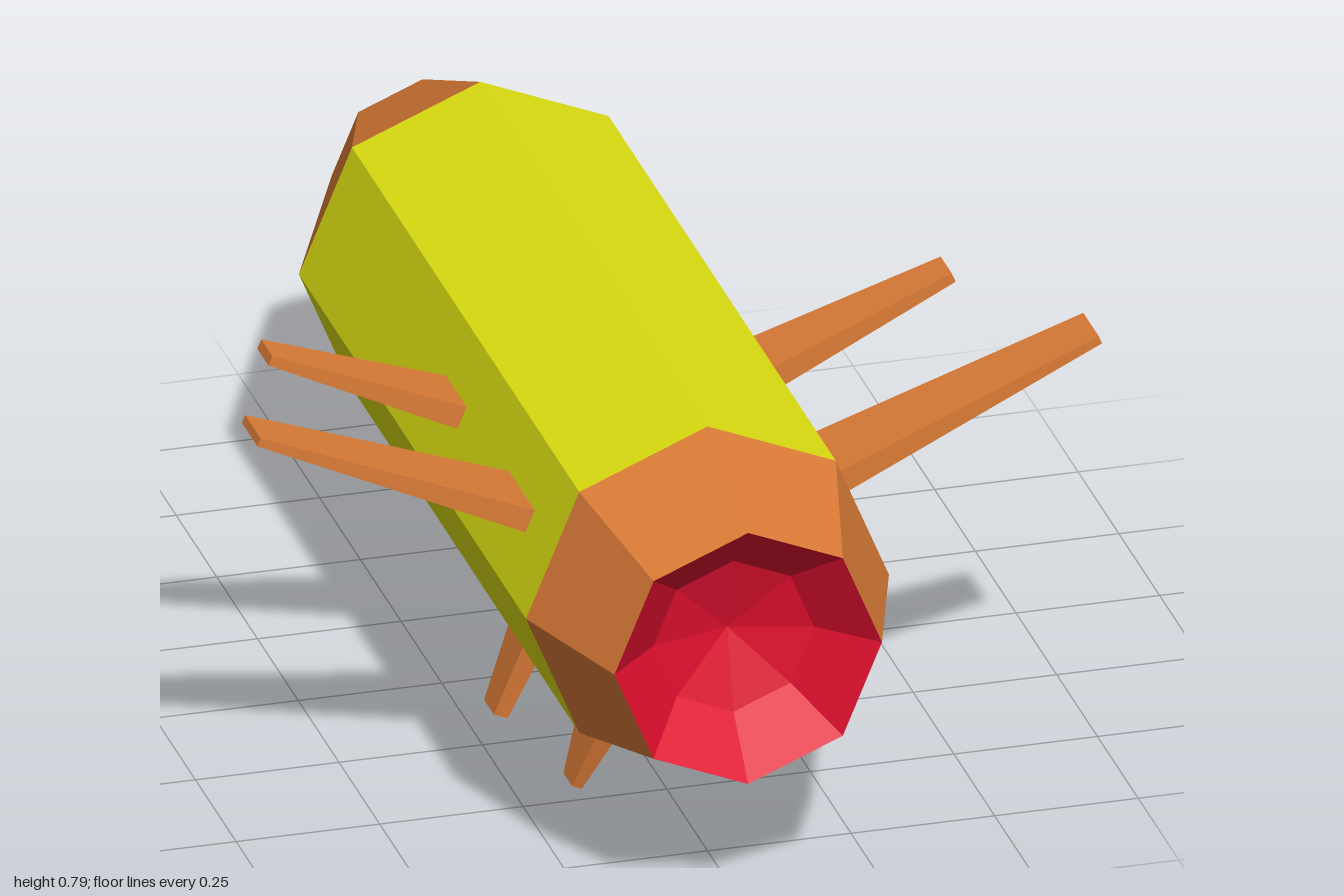
import * as THREE from 'three';

const AXIS_Y = 0.474; // height of the hull axis
const orange = new THREE.MeshStandardMaterial({ color: 0xd97a36, flatShading: true });
const yellow = new THREE.MeshStandardMaterial({ color: 0xdcdf10, flatShading: true });
const red = new THREE.MeshStandardMaterial({ color: 0xdf0f2e, flatShading: true });

// Eight-sided hull section, profile given as [radius, z] from back to front
function section(name, profile, material) {
  const geometry = new THREE.LatheGeometry(profile.map(([r, z]) => new THREE.Vector2(r, z)), 8);
  geometry.rotateX(Math.PI / 2);
  const mesh = new THREE.Mesh(geometry, material);
  mesh.name = name;
  mesh.position.y = AXIS_Y;
  return mesh;
}

// Tapered fin that grows radially out of the hull
function fin(name, { angle, z, tip, rootChord, tipChord, rootThick, tipThick }, side) {
  const root = 0.287;
  const geometry = new THREE.BoxGeometry(1, tip - root, 1);
  geometry.translate(0, (tip + root) / 2, 0);
  const p = geometry.attributes.position;
  for (let i = 0; i < p.count; i++) {
    const outer = p.getY(i) > (tip + root) / 2;
    p.setX(i, p.getX(i) * (outer ? tipThick : rootThick));
    p.setZ(i, p.getZ(i) * (outer ? tipChord : rootChord));
  }
  geometry.computeVertexNormals();
  const mesh = new THREE.Mesh(geometry, orange);
  mesh.name = name;
  mesh.rotation.z = -side * THREE.MathUtils.degToRad(angle);
  mesh.position.set(0, AXIS_Y, z);
  return mesh;
}

export function createModel() {
  const model = new THREE.Group();
  model.name = 'vessel';

  // Hull
  model.add(section('hull', [[0.316, -0.645], [0.316, 0.75]], yellow));
  model.add(section('noseCollar', [[0.316, 0.75], [0.233, 1]], orange));
  model.add(section('tailCone', [[0.125, -0.97], [0.125, -1], [0.158, -1], [0.316, -0.645]], orange));

  // Concave front bowl and recessed rear plate
  model.add(section('frontBowl', [[0.233, 1], [0.14, 0.91], [0, 0.87]], red));
  model.add(section('rearPlate', [[0, -0.97], [0.125, -0.97]], yellow));

  // Fins, mirrored left and right
  const fins = {
    UpperFrontFin: { angle: 67.5, z: 0.532, tip: 0.793, rootChord: 0.16, tipChord: 0.095, rootThick: 0.042, tipThick: 0.015 },
    UpperRearFin: { angle: 67.5, z: 0.13, tip: 0.644, rootChord: 0.128, tipChord: 0.068, rootThick: 0.042, tipThick: 0.018 },
    LowerFrontFin: { angle: 157.5, z: 0.533, tip: 0.453, rootChord: 0.147, tipChord: 0.054, rootThick: 0.042, tipThick: 0.018 },
    LowerRearFin: { angle: 157.5, z: 0.132, tip: 0.505, rootChord: 0.108, tipChord: 0.06, rootThick: 0.044, tipThick: 0.026 },
  };
  for (const [name, spec] of Object.entries(fins)) {
    model.add(fin('left' + name, spec, 1), fin('right' + name, spec, -1));
  }
  return model;
}
